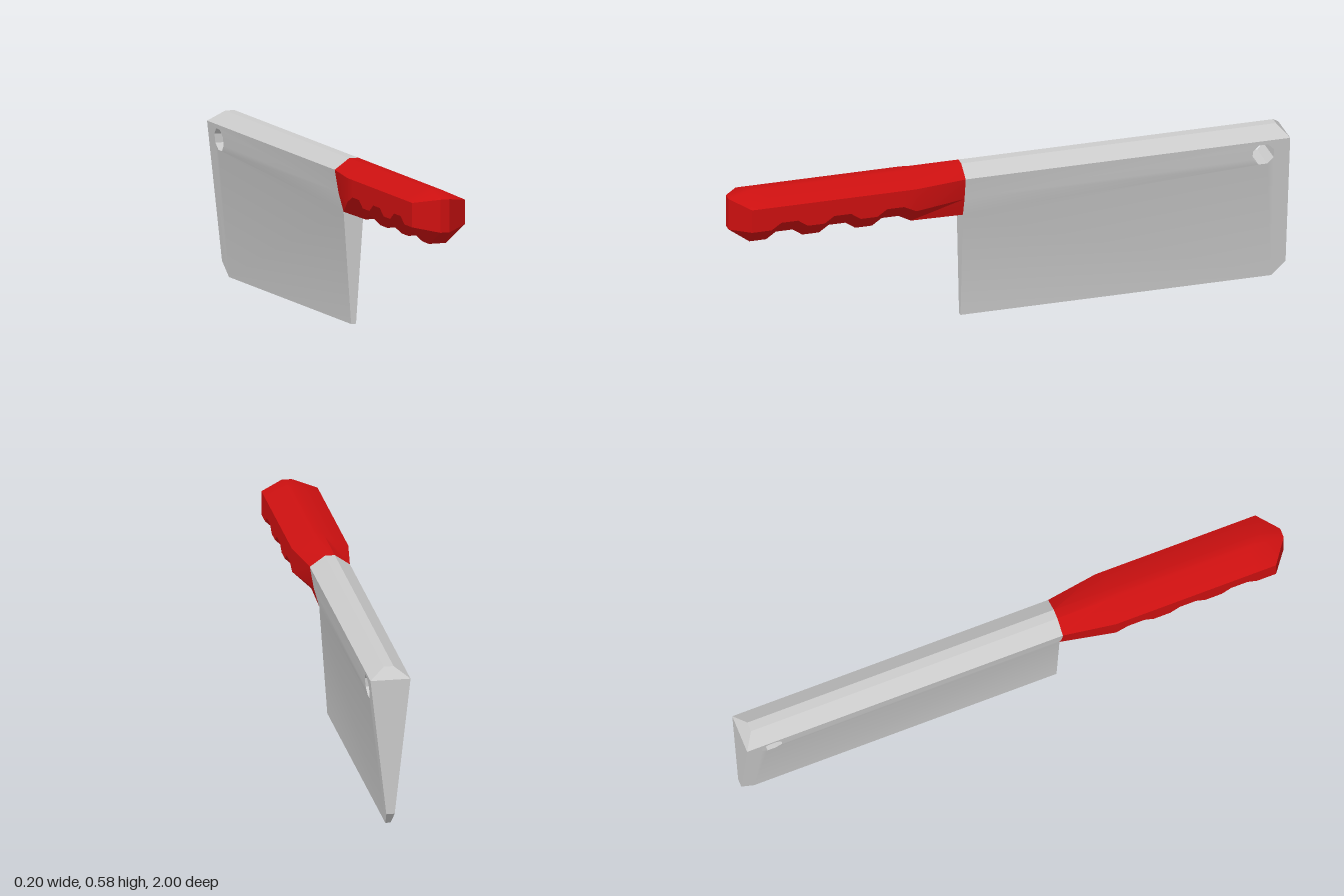
import * as THREE from 'three';
import { toCreasedNormals } from 'three/addons/utils/BufferGeometryUtils.js';

const TOP = 0.577, SHOULDER = 0.54, JOIN = 0.165;

// Skin between rings of [x, y, z] points, ordered front to back, with capped ends
function loft(rings) {
  const n = rings[0].length, index = [];
  for (let i = 0; i < rings.length - 1; i++) {
    for (let j = 0; j < n; j++) {
      const a = i * n + j, b = i * n + (j + 1) % n;
      index.push(a, a + n, b + n, a, b + n, b);
    }
  }
  const last = (rings.length - 1) * n;
  for (let j = 1; j < n - 1; j++) index.push(0, j, j + 1, last, last + j + 1, last + j);
  const geometry = new THREE.BufferGeometry();
  geometry.setAttribute('position', new THREE.Float32BufferAttribute(rings.flat(2), 3));
  geometry.setIndex(index);
  return toCreasedNormals(geometry, 0.55);
}

// Mirrored ring from the +x half, listed from top to bottom
function ring(half) {
  const left = half.map(([x, y, z]) => [-x, y, z]);
  return [half[0], ...left, ...half.slice(1).reverse()];
}

function handleRing(z, w, low, bottomW, bottom, sideZ = z) {
  return ring([[0.017, TOP, z], [w, SHOULDER, sideZ], [w, low, sideZ], [bottomW, bottom, z]]);
}

function createHandle() {
  // Pointed butt end
  const rings = [ring([[0.017, 0.555, 1], [0.017, 0.555, 1], [0.017, 0.44, 1], [0.017, 0.44, 1]])];
  // Three finger grooves
  for (let k = 0; k < 3; k++) {
    const c = 0.9 - 0.19 * k;
    rings.push(handleRing(c + 0.03, 0.098, 0.455, 0.031, 0.392, k ? c + 0.03 : 0.94));
    rings.push(handleRing(c - 0.03, 0.098, 0.455, 0.031, 0.392));
    rings.push(handleRing(c - 0.065, 0.098, 0.479, 0.031, 0.416));
    rings.push(handleRing(c - 0.125, 0.098, 0.479, 0.031, 0.416));
  }
  // Neck narrowing to the blade
  rings.push(handleRing(0.35, 0.098, 0.457, 0.031, 0.392));
  rings.push(ring([[0.017, TOP, JOIN], [0.07, SHOULDER, JOIN], [0.056, 0.46, JOIN], [0.037, 0.392, JOIN]]));
  return loft(rings);
}

// Wedge-shaped blade with clipped corner and hanging hole
function createBlade() {
  const shape = new THREE.Shape([
    [-JOIN, 0], [0.95, 0], [1, 0.05], [1, SHOULDER],
    [-JOIN, SHOULDER], [-JOIN, 0.46], [-JOIN, 0.392],
  ].map(([u, y]) => new THREE.Vector2(u, y)));
  const hole = [];
  for (let i = 0; i < 8; i++) {
    const a = -(i + 0.5) * Math.PI / 4;
    hole.push(new THREE.Vector2(0.905 + 0.041 * Math.cos(a), 0.487 + 0.041 * Math.sin(a)));
  }
  shape.holes.push(new THREE.Path(hole));
  const geometry = new THREE.ExtrudeGeometry(shape, { depth: 1, bevelEnabled: false });
  geometry.translate(0, 0, -0.5).rotateY(Math.PI / 2);
  // Taper the thickness towards the cutting edge, pinched at the handle joint
  const p = geometry.attributes.position;
  for (let i = 0; i < p.count; i++) {
    const y = p.getY(i);
    let w = 0.009 + 0.061 * y / SHOULDER;
    if (p.getZ(i) > JOIN - 0.01) {
      if (Math.abs(y - 0.46) < 0.01) w = 0.056;
      if (Math.abs(y - 0.392) < 0.01) w = 0.037;
    }
    p.setX(i, Math.sign(p.getX(i)) * w);
  }
  geometry.deleteAttribute('uv');
  return toCreasedNormals(geometry, 0.4);
}

// Bevelled spine along the top of the blade
function createSpine() {
  return loft([
    ring([[0.017, TOP, JOIN], [0.07, SHOULDER, JOIN]]),
    ring([[0.017, TOP, -0.965], [0.07, SHOULDER, -1]]),
  ]);
}

export function createModel() {
  const steel = new THREE.MeshStandardMaterial({ color: 0xcccccc });
  const red = new THREE.MeshStandardMaterial({ color: 0xcc1010 });
  const group = new THREE.Group();
  group.name = 'cleaver';
  const parts = [
    ['handle', createHandle(), red],
    ['blade', createBlade(), steel],
    ['bladeSpine', createSpine(), steel],
  ];
  for (const [name, geometry, material] of parts) {
    const mesh = new THREE.Mesh(geometry, material);
    mesh.name = name;
    group.add(mesh);
  }
  return group;
}
